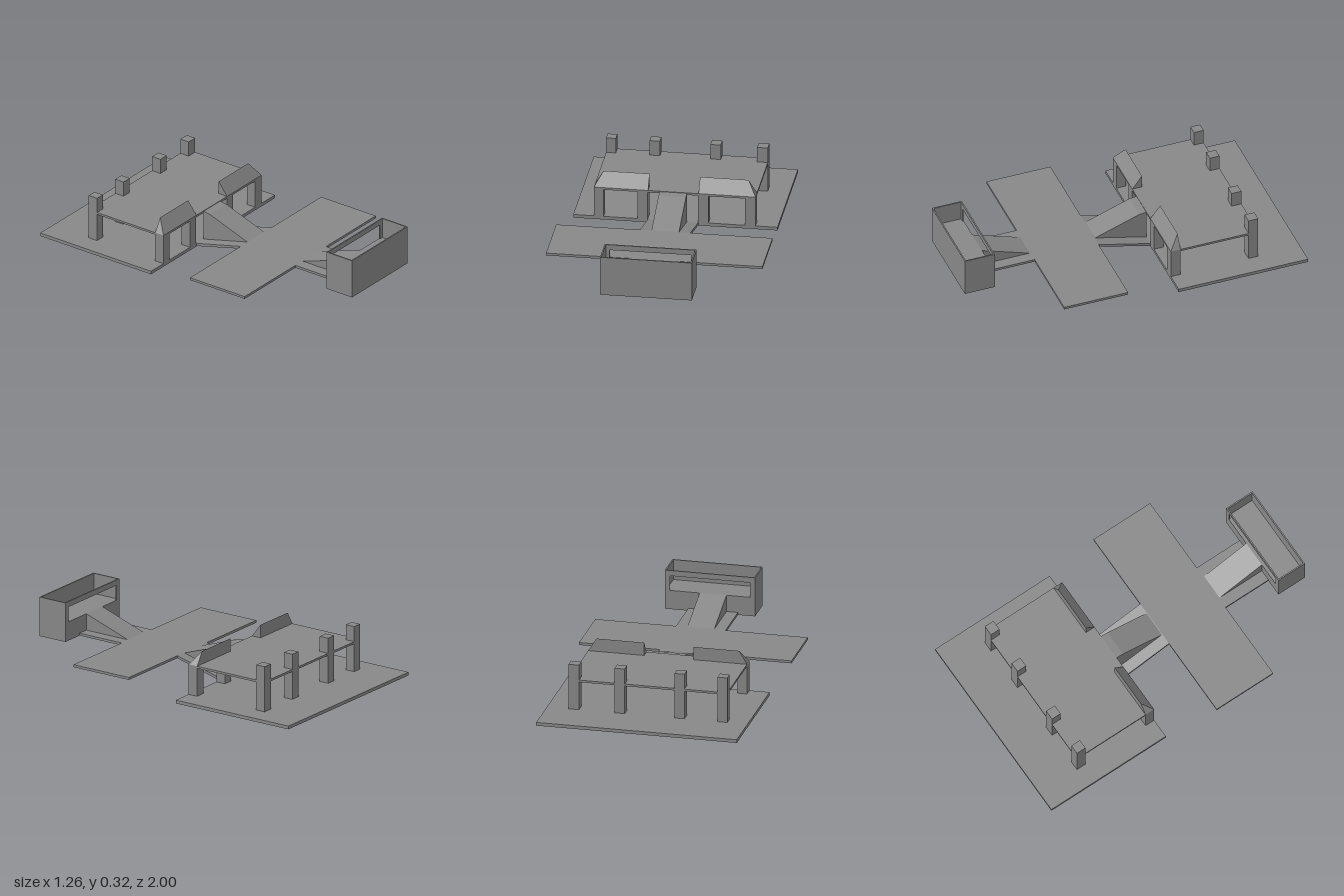
import * as THREE from 'three';
import { ConvexGeometry } from 'three/addons/geometries/ConvexGeometry.js';

const material = new THREE.MeshStandardMaterial({ color: 0x888888, flatShading: true });

export function createModel() {
  const model = new THREE.Group();

  const add = (name, geometry) => {
    const mesh = new THREE.Mesh(geometry, material);
    mesh.name = name;
    model.add(mesh);
  };

  // Box given by its limits on each axis
  const block = (name, [x0, x1], [y0, y1], [z0, z1]) =>
    add(name, new THREE.BoxGeometry(x1 - x0, y1 - y0, z1 - z0)
      .translate((x0 + x1) / 2, (y0 + y1) / 2, (z0 + z1) / 2));

  // Side profile of [z, y] points extruded across x
  const profile = (name, points, [x0, x1]) => {
    const shape = new THREE.Shape(points.map(([z, y]) => new THREE.Vector2(z, y)));
    const geometry = new THREE.ExtrudeGeometry(shape, { depth: x1 - x0, bevelEnabled: false });
    add(name, geometry.rotateY(-Math.PI / 2).translate(x1, 0, 0));
  };

  // Rear building: ground slab, raised deck and posts
  block('groundSlab', [-0.58, 0.613], [0, 0.02], [-1, -0.2]);
  block('raisedDeck', [-0.46, 0.485], [0.19, 0.203], [-0.74, -0.2]);
  for (const [x0, x1] of [[-0.46, -0.403], [-0.205, -0.145], [0.15, 0.21], [0.422, 0.485]]) {
    block('backPost', [x0, x1], [0.02, 0.295], [-0.74, -0.68]);
    block('frontPost', [x0, x1], [0.02, 0.19], [-0.26, -0.2]);
  }

  // Sloping parapets with a hipped outer end
  for (const [outer, ridge, inner] of [[-0.46, -0.412, -0.143], [0.485, 0.435, 0.152]]) {
    add('parapet', new ConvexGeometry([
      [outer, 0.203, -0.2], [inner, 0.203, -0.2], [outer, 0.203, -0.26],
      [inner, 0.203, -0.26], [ridge, 0.282, -0.26], [inner, 0.282, -0.26],
    ].map((p) => new THREE.Vector3(...p))));
  }

  // Middle platform and the walkways joining it to both ends
  const walkway = [-0.143, 0.152], ramp = [-0.075, 0.085];
  block('middlePlatform', [-0.632, 0.632], [0.085, 0.1], [0.12, 0.515]);
  profile('rearWalkway', [[0.12, 0.085], [0.12, 0.1], [-0.2, 0.02], [-0.2, 0.003]], walkway);
  profile('rearRamp', [[0.12, 0.098], [-0.155, 0.195], [-0.2, 0.2], [-0.2, 0.018]], ramp);
  block('frontWalkway', walkway, [0.085, 0.1], [0.515, 0.815]);
  profile('frontRamp', [[0.52, 0.1], [0.815, 0.1], [0.815, 0.2]], ramp);

  // Front box, open at the top, with a wide window at the head of the ramp
  const x0 = -0.245, x1 = 0.292, z0 = 0.815, z1 = 1, y0 = 0.085, y1 = 0.323, t = 0.008;
  const inside = [x0 + t, x1 - t], backWall = [z0, z0 + t];
  block('boxBase', [x0, x1], [y0, y0 + t], [z0, z1]);
  block('boxFrontWall', [x0, x1], [y0 + t, y1], [z1 - t, z1]);
  for (const x of [x0, x1 - t]) block('boxSideWall', [x, x + t], [y0 + t, y1], [z0, z1 - t]);
  block('boxBackWall', inside, [y0 + t, 0.2], backWall);
  block('boxFloor', inside, [0.192, 0.2], [z0 + t, z1 - t]);
  block('windowLintel', inside, [0.29, y1], backWall);
  block('windowJamb', [x0 + t, x0 + 0.03], [0.2, 0.29], backWall);
  block('windowJamb', [x1 - 0.03, x1 - t], [0.2, 0.29], backWall);

  return model;
}
